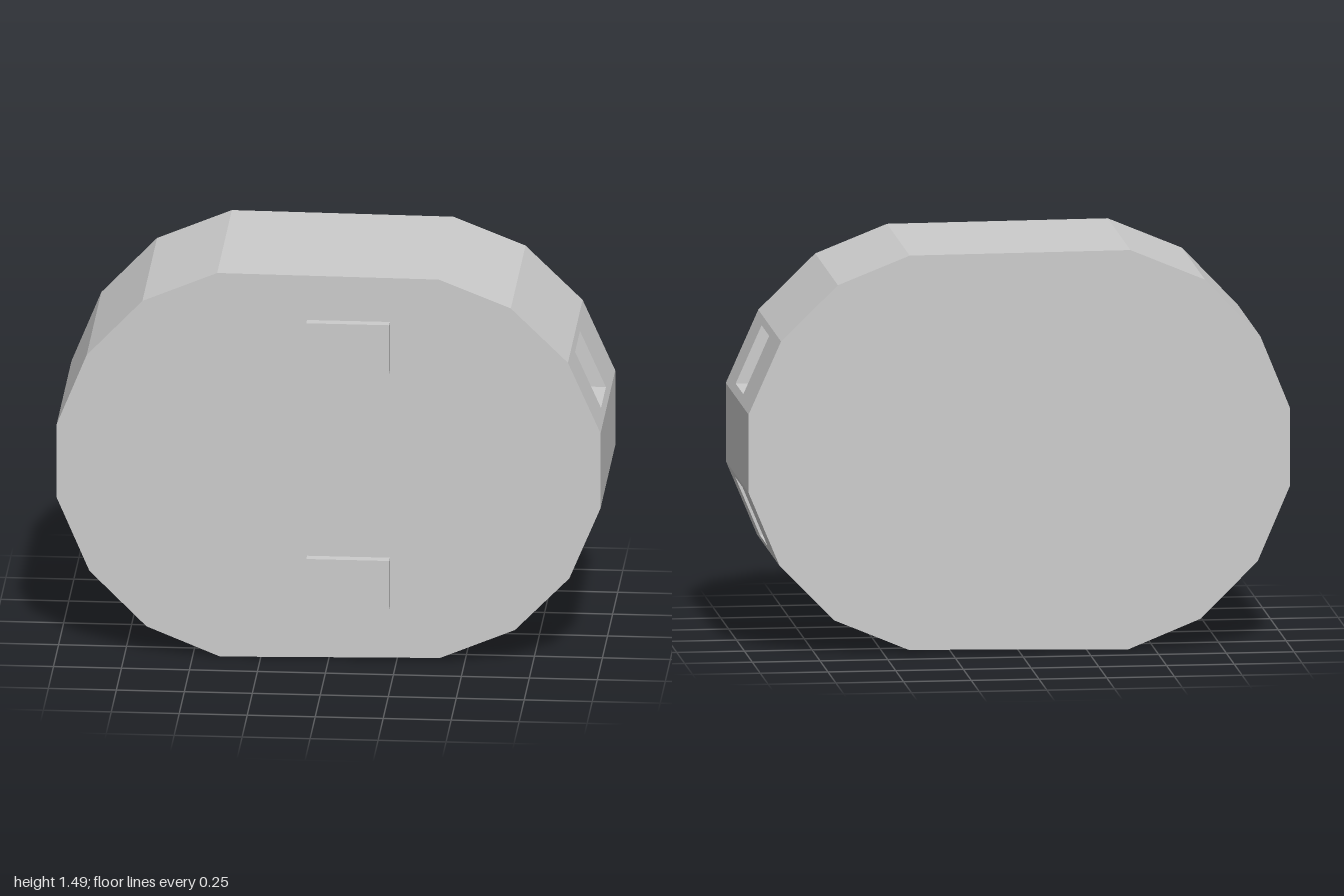
import * as THREE from 'three';

const BACK = -0.38, FRONT = 0.34;

// Body outline, counter-clockwise as seen from the front
const OUTLINE = [
  [-0.4, 0], [0.41, 0.015], [0.685, 0.13], [0.885, 0.335], [1, 0.61], [1, 0.9],
  [0.88, 1.17], [0.67, 1.375], [0.405, 1.48], [-0.41, 1.485], [-0.685, 1.37],
  [-0.89, 1.155], [-1, 0.885], [-1, 0.6], [-0.88, 0.32], [-0.67, 0.11],
];

// Pockets: index of the outline edge they sit on, with their lower and upper heights
const POCKETS = { 3: [0.365, 0.585], 5: [0.93, 1.145] };
const POCKET_BACK = -0.1, POCKET_FRONT = 0.14, POCKET_DEPTH = 0.065;

// Corner ring of a rectangle running from a to b in the outline and z0 to z1 in depth
const ring = (a, b, z0, z1) => [[...a, z0], [...b, z0], [...b, z1], [...a, z1]];

function createBodyGeometry() {
  const positions = [];

  // Fan a convex polygon into triangles
  const face = (points) => {
    for (let i = 1; i < points.length - 1; i++) {
      positions.push(...points[0], ...points[i], ...points[i + 1]);
    }
  };
  // Join two four-cornered rings with a band of quads
  const band = (r, s) => {
    for (let i = 0; i < 4; i++) {
      const j = (i + 1) % 4;
      face([r[i], r[j], s[j], s[i]]);
    }
  };

  // Front and back
  face(OUTLINE.map(([x, y]) => [x, y, FRONT]));
  face(OUTLINE.map(([x, y]) => [x, y, BACK]).reverse());

  // Rim, with recessed pockets on two of its facets
  OUTLINE.forEach((a, i) => {
    const b = OUTLINE[(i + 1) % OUTLINE.length];
    const outer = ring(a, b, BACK, FRONT);
    if (!POCKETS[i]) return face(outer);

    const onEdge = (y) => [a[0] + (b[0] - a[0]) * (y - a[1]) / (b[1] - a[1]), y];
    const [low, high] = POCKETS[i].map(onEdge);
    const opening = ring(low, high, POCKET_BACK, POCKET_FRONT);
    const floor = opening.map(([x, y, z]) => [x - POCKET_DEPTH, y, z]);
    band(outer, opening);
    band(opening, floor);
    face(floor);
  });

  const geometry = new THREE.BufferGeometry();
  geometry.setAttribute('position', new THREE.Float32BufferAttribute(positions, 3));
  geometry.computeVertexNormals();
  return geometry;
}

export function createModel() {
  const model = new THREE.Group();
  const material = new THREE.MeshStandardMaterial({ color: 0xcccccc, flatShading: true });

  const body = new THREE.Mesh(createBodyGeometry(), material);
  body.name = 'body';
  model.add(body);

  // Raised plates on the front
  const plateGeometry = new THREE.BoxGeometry(0.305, 0.187, 0.038);
  for (const [name, y] of [['lowerPlate', 0.305], ['upperPlate', 1.218]]) {
    const plate = new THREE.Mesh(plateGeometry, material);
    plate.name = name;
    plate.position.set(0.073, y, FRONT + 0.019);
    model.add(plate);
  }
  return model;
}
